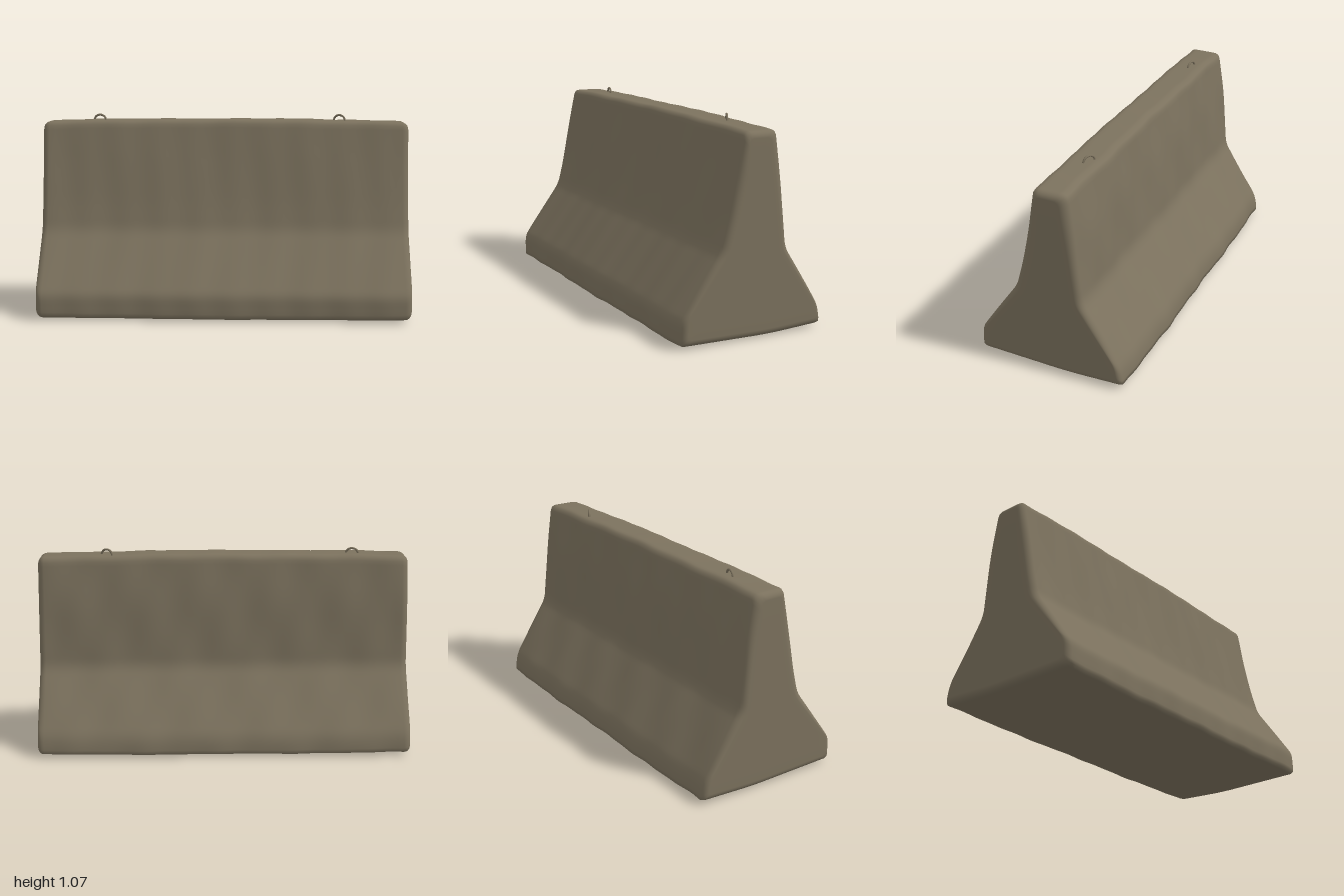
import * as THREE from 'three';

const concrete = new THREE.MeshStandardMaterial({ color: 0x7c725e });
concrete.name = 'concrete';

// Cross-section as [z, y, corner cut], going up the front and down the back
const PROFILE = [
  [0.41, 0.018, 0.02], [0.405, 0.14, 0.03], [0.185, 0.455, 0.04], [0.15, 0.6, 0.05],
  [0.06, 1.04, 0.022], [-0.117, 1.04, 0.03], [-0.152, 0.8, 0.08], [-0.182, 0.445, 0.04],
  [-0.395, 0.11, 0.04], [-0.411, 0.02, 0.015], [-0.1, 0.006, 0.1],
];

// Closed outline with every corner softened by a curve
function outline(count) {
  const pts = PROFILE.map(([z, y]) => new THREE.Vector2(z, y));
  const n = pts.length;
  const shape = new THREE.Path();
  const toward = (p, q, d) => p.clone().add(q.clone().sub(p).setLength(d));
  pts.forEach((p, i) => {
    const cut = PROFILE[i][2];
    const a = toward(p, pts[(i + n - 1) % n], cut);
    const b = toward(p, pts[(i + 1) % n], cut);
    if (i === 0) shape.moveTo(a.x, a.y);
    else shape.lineTo(a.x, a.y);
    shape.quadraticCurveTo(p.x, p.y, b.x, b.y);
  });
  shape.closePath();
  return shape.getSpacedPoints(count).slice(0, count);
}

// Stations along the length: x, edge inset and scale toward the middle of the end face
function stations() {
  const r = 0.035, end = [], list = [];
  for (const s of [0.001, 0.3, 0.6, 0.85]) end.push([1, r, s]);
  for (let k = 0; k <= 5; k++) {
    const t = (k / 5) * Math.PI / 2;
    end.push([1 - r + r * Math.cos(t), r * (1 - Math.sin(t)), 1]);
  }
  end.forEach(([x, inset, s]) => list.push([-x, inset, s]));
  for (let k = 1; k < 60; k++) list.push([(1 - r) * (k / 30 - 1), 0, 1]);
  end.reverse().forEach((e) => list.push(e));
  return list;
}

// Gentle unevenness of a weathered casting
function wobble(x, y, z) {
  return 0.003 * Math.sin(7 * x + 5 * y + 4 * z) + 0.0025 * Math.sin(17 * x - 9 * y + 1)
    + 0.002 * Math.sin(31 * x + 14 * z + 6 * y);
}

function barrierBody() {
  const ring = outline(150), rows = stations(), n = ring.length;
  const pos = [], index = [];
  const clamp = THREE.MathUtils.clamp;
  for (const [x, inset, s] of rows) {
    for (const p of ring) {
      let z = p.x - inset * clamp(p.x / 0.1, -1, 1);
      let y = p.y - inset * clamp((p.y - 0.4) / 0.38, -1, 1);
      z += wobble(x, y, z) * clamp(z / 0.1, -1, 1);
      // Crown along the top and slight sag along the base
      const mid = 1 - x * x;
      y += p.y > 0.7 ? ((p.y - 0.7) / 0.34) * (0.012 * mid - 0.006 + wobble(x, 0, z) * 0.4) : 0;
      y -= p.y < 0.05 ? 0.005 * mid : 0;
      pos.push(x, 0.4 + (y - 0.4) * s, z * s);
    }
  }
  for (let i = 0; i < rows.length - 1; i++) {
    for (let j = 0; j < n; j++) {
      const k = (j + 1) % n;
      const a = i * n + j, b = a + n, c = (i + 1) * n + k, d = i * n + k;
      index.push(a, b, d, b, c, d);
    }
  }
  const geo = new THREE.BufferGeometry();
  geo.setAttribute('position', new THREE.Float32BufferAttribute(pos, 3));
  geo.setIndex(index);
  geo.computeVertexNormals();
  const mesh = new THREE.Mesh(geo, concrete);
  mesh.name = 'barrierBody';
  return mesh;
}

// Bent steel bar sunk into the top
function liftingLoop(name, x, z, turn) {
  const path = new THREE.CatmullRomCurve3([
    [-0.036, -0.05], [-0.035, 0], [-0.025, 0.024], [0, 0.034], [0.025, 0.024], [0.035, 0], [0.036, -0.05],
  ].map(([u, v]) => new THREE.Vector3(u, v, 0)));
  const mesh = new THREE.Mesh(new THREE.TubeGeometry(path, 24, 0.006, 8), concrete);
  mesh.name = name;
  mesh.position.set(x, 1.034, z);
  mesh.rotation.y = turn;
  return mesh;
}

export function createModel() {
  const group = new THREE.Group();
  group.name = 'concreteBarrier';
  group.add(
    barrierBody(),
    liftingLoop('rightLiftingLoop', -0.7, -0.045, -0.2),
    liftingLoop('leftLiftingLoop', 0.63, -0.055, -0.5),
  );
  return group;
}
